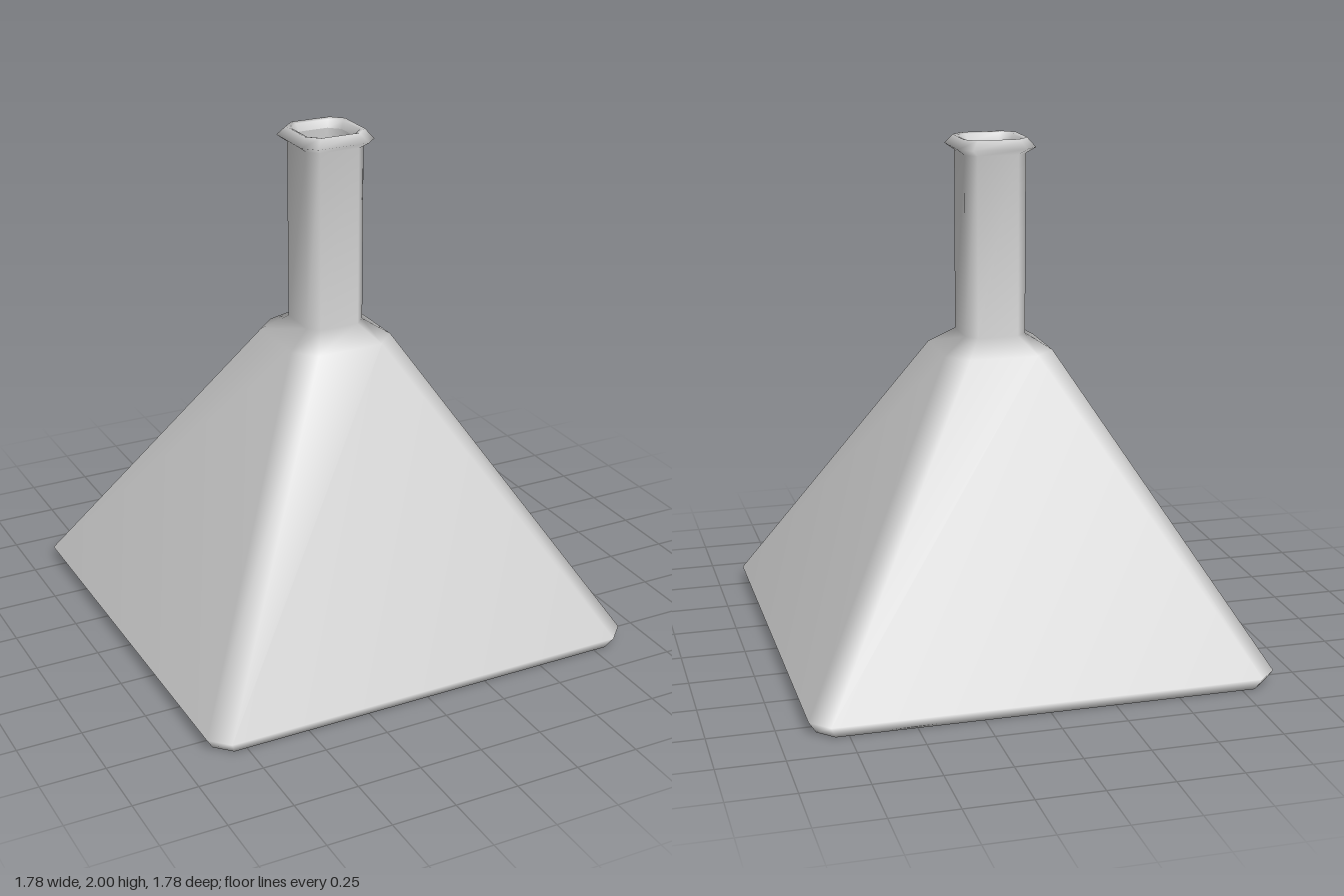
import * as THREE from 'three';

// One chamfered-square cross-section: half width h, corner cut c, height y
function ring(h, c, y) {
  const points = [];
  for (let k = 0; k < 4; k++) {
    const cos = Math.round(Math.cos(k * Math.PI / 2));
    const sin = Math.round(Math.sin(k * Math.PI / 2));
    for (const [x, z] of [[h, h - c], [h - c, h]]) {
      points.push(x * cos - z * sin, y, x * sin + z * cos);
    }
  }
  return points;
}

// Skin a row of cross-sections, optionally closing either end with a flat cap
function loft(sections, capStart, capEnd) {
  const n = 8, index = [];
  const position = sections.flatMap(s => ring(...s));
  for (let i = 0; i < sections.length - 1; i++) {
    for (let j = 0; j < n; j++) {
      const a = i * n + j, b = i * n + (j + 1) % n;
      index.push(a, a + n, b, b, a + n, b + n);
    }
  }
  const last = (sections.length - 1) * n;
  for (let j = 1; j < n - 1; j++) {
    if (capStart) index.push(0, j, j + 1);
    if (capEnd) index.push(last, last + j + 1, last + j);
  }
  const geometry = new THREE.BufferGeometry();
  geometry.setAttribute('position', new THREE.Float32BufferAttribute(position, 3));
  geometry.setIndex(index);
  geometry.computeVertexNormals();
  return geometry;
}

export function createModel() {
  const group = new THREE.Group();
  group.name = 'squareFlask';
  const material = new THREE.MeshStandardMaterial({ color: 0xcccccc });

  // Outer wall: bevelled foot, pyramid body, shoulder, neck and rolled lip
  const outer = new THREE.Mesh(loft([
    [0.86, 0.06, 0],
    [0.89, 0.07, 0.05],
    [0.215, 0.08, 1.18],
    [0.12, 0.04, 1.24],
    [0.12, 0.04, 1.94],
    [0.153, 0.048, 1.965],
    [0.125, 0.045, 2],
    [0.11, 0.042, 1.995],
    [0.1, 0.04, 1.965],
  ], true, false), material);
  outer.name = 'outerWall';

  // Inner wall: runs down the neck to the floor of the hollow body
  const inner = new THREE.Mesh(loft([
    [0.1, 0.04, 1.965],
    [0.1, 0.04, 1.23],
    [0.195, 0.07, 1.17],
    [0.86, 0.065, 0.05],
    [0.84, 0.06, 0.02],
  ], false, true), material);
  inner.name = 'innerWall';

  group.add(outer, inner);
  return group;
}
